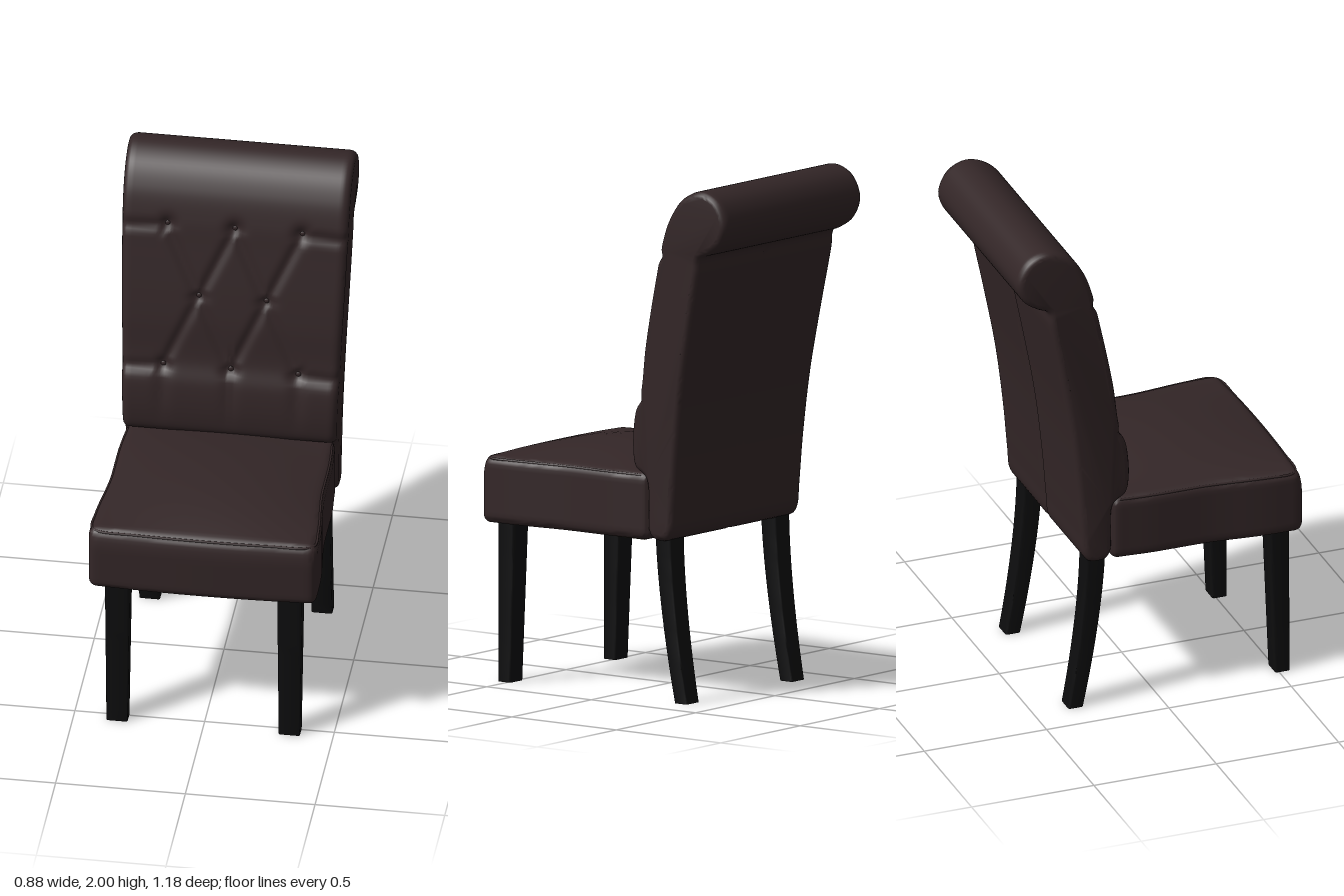
import * as THREE from 'three';
import { toCreasedNormals } from 'three/addons/utils/BufferGeometryUtils.js';

const { smoothstep, lerp, clamp } = THREE.MathUtils;

// Move every vertex by a rule, then rebuild the normals
function reshape(geometry, rule, crease = 0.8) {
  const p = geometry.attributes.position;
  const v = new THREE.Vector3();
  for (let i = 0; i < p.count; i++) {
    v.fromBufferAttribute(p, i);
    rule(v);
    p.setXYZ(i, v.x, v.y, v.z);
  }
  return toCreasedNormals(geometry, crease);
}

function add(parent, name, geometry, material) {
  const mesh = new THREE.Mesh(geometry, material);
  mesh.name = name;
  parent.add(mesh);
  return mesh;
}

// Tufting: button positions, and the creases that join them into diamonds
const buttons = [
  [-0.26, 1.74], [0, 1.74], [0.26, 1.74],
  [-0.13, 1.46], [0.13, 1.46],
  [-0.26, 1.17], [0, 1.17], [0.26, 1.17],
];
const creases = [];
for (const x of [-0.13, 0.13]) {
  for (const y of [1.74, 1.17]) {
    for (const s of [-0.13, 0.13]) creases.push([x, 1.46, x + s, y]);
  }
}
for (const s of [-1, 1]) {
  for (const y of [1.74, 1.17]) creases.push([s * 0.26, y, s * 0.45, y - 0.01]);
}

function segmentDistance(x, y, [ax, ay, bx, by]) {
  const dx = bx - ax, dy = by - ay;
  const t = clamp(((x - ax) * dx + (y - ay) * dy) / (dx * dx + dy * dy), 0, 1);
  return Math.hypot(x - ax - t * dx, y - ay - t * dy);
}

function tuftDepth(x, y) {
  let d = 0;
  for (const c of creases) d = Math.max(d, 0.012 * Math.exp(-((segmentDistance(x, y, c) / 0.02) ** 2)));
  for (const [bx, by] of buttons) {
    d = Math.max(d, 0.026 * Math.exp(-((x - bx) ** 2 + (y - by) ** 2) / 0.0009));
    // Soft vertical folds below the lowest row
    if (by < 1.2 && y < by) {
      d = Math.max(d, 0.008 * smoothstep(y, 0.9, 1.1) * Math.exp(-(((x - bx) / 0.03) ** 2)));
    }
  }
  return d;
}

// Backrest: side profile [z, y] with a rolled top, extruded across the width
function backrestGeometry() {
  const profile = [
    [-0.22, 0.63], [-0.197, 0.66], [-0.195, 0.75], [-0.185, 0.86], [-0.135, 0.9], [-0.122, 0.97],
    [-0.133, 1.1], [-0.165, 1.2], [-0.188, 1.36], [-0.215, 1.5], [-0.25, 1.66], [-0.275, 1.77],
    [-0.315, 1.88], [-0.38, 1.965], [-0.47, 2.0], [-0.55, 1.967], [-0.59, 1.88], [-0.56, 1.8],
    [-0.5, 1.757], [-0.463, 1.74], [-0.455, 1.68], [-0.41, 1.45], [-0.365, 1.2], [-0.335, 0.95],
    [-0.318, 0.75], [-0.308, 0.66], [-0.285, 0.63],
  ].map(([z, y]) => new THREE.Vector3(-z, y, 0));
  const outline = new THREE.CatmullRomCurve3(profile, true).getSpacedPoints(210);
  outline.pop();
  const bevel = 0.036;
  const depth = 1 - 2 * bevel;
  const g = new THREE.ExtrudeGeometry(new THREE.Shape(outline.map((p) => new THREE.Vector2(p.x, p.y))), {
    depth, steps: 80, bevelThickness: bevel, bevelSize: 0.024, bevelOffset: -0.024, bevelSegments: 4,
  });
  g.translate(0, 0, -depth / 2);
  g.rotateY(Math.PI / 2);
  return reshape(g, (v) => {
    v.x *= 2 * lerp(0.41, 0.437, smoothstep(v.y, 0.7, 1.95));
    const middle = -0.23 - 0.216 * (v.y - 1);
    if (v.z > middle && v.y < 1.9 && v.y > 0.88) v.z -= tuftDepth(v.x, v.y);
    // Centre seam down the rear
    if (v.z < middle && v.y < 1.72) v.z += 0.008 * Math.exp(-((v.x / 0.012) ** 2));
  });
}

// Seat cushion: plan and crown
const seatHalfWidth = (z) => 0.402 + 0.012 * smoothstep(z, -0.2, 0) + 0.026 * smoothstep(z, 0.15, 0.48);
const seatCrown = (x, z) => 0.05 * Math.max(0, 1 - (x / 0.42) ** 2) * Math.max(0, 1 - ((z - 0.17) / 0.4) ** 2);
const seatBulge = (x) => 0.015 * (1 - (x / 0.44) ** 2);

function seatGeometry() {
  const half = new THREE.Vector3(0.44, 0.13, 0.385);
  const r = 0.032;
  const inner = new THREE.Vector3();
  const limit = half.clone().subScalar(r);
  const low = limit.clone().negate();
  return reshape(new THREE.BoxGeometry(2, 2, 2, 32, 18, 32), (v) => {
    // Crowd the grid toward the edges, then round them
    for (const k of ['x', 'y', 'z']) v[k] = Math.sin((v[k] * Math.PI) / 2) * half[k];
    inner.copy(v).clamp(low, limit);
    v.sub(inner).setLength(r).add(inner);
    const top = smoothstep(v.y, 0.05, 0.13);
    const front = smoothstep(v.z, 0.2, 0.38);
    v.z += 0.19;
    v.z += front * (seatBulge(v.x) - 0.012 * top);
    v.y += 0.75 + top * seatCrown(v.x, v.z);
    v.x *= seatHalfWidth(v.z) / 0.44;
  });
}

// Welt cord round the top edge of the seat
function seatPipingGeometry() {
  const points = [];
  for (let i = 0; i <= 8; i++) {
    const z = -0.16 + 0.69 * (i / 8);
    points.push(new THREE.Vector3(seatHalfWidth(z) - 0.01, 0.871, z));
  }
  for (let i = 0; i <= 6; i++) {
    const x = 0.4 - 0.8 * (i / 6);
    points.push(new THREE.Vector3(x, 0.871, 0.553 + seatBulge(x)));
  }
  for (let i = 8; i >= 0; i--) points.push(points[i].clone().setX(-points[i].x));
  return new THREE.TubeGeometry(new THREE.CatmullRomCurve3(points), 120, 0.005, 6);
}

// Tapered leg with eased corners; centreZ gives the sweep from floor (0) to top (1)
function legGeometry(height, centreZ, halfX, halfZ) {
  const c = 0.75;
  const s = new THREE.Shape();
  s.moveTo(-c, -1);
  s.lineTo(c, -1);
  s.quadraticCurveTo(1, -1, 1, -c);
  s.lineTo(1, c);
  s.quadraticCurveTo(1, 1, c, 1);
  s.lineTo(-c, 1);
  s.quadraticCurveTo(-1, 1, -1, c);
  s.lineTo(-1, -c);
  s.quadraticCurveTo(-1, -1, -c, -1);
  const g = new THREE.ExtrudeGeometry(s, { depth: 1, steps: 14, curveSegments: 3, bevelEnabled: false });
  g.rotateX(-Math.PI / 2);
  return reshape(g, (v) => {
    const t = v.y;
    v.set(v.x * lerp(halfX[0], halfX[1], t), t * height, v.z * lerp(halfZ[0], halfZ[1], t) + centreZ(t));
  }, 0.7);
}

export function createModel() {
  const upholstery = new THREE.MeshStandardMaterial({ name: 'dark brown leather', color: 0x332627 });
  const wood = new THREE.MeshStandardMaterial({ name: 'black wood', color: 0x0d0d0e });
  const cloth = new THREE.MeshStandardMaterial({ name: 'olive base cloth', color: 0x3f3520 });

  const chair = new THREE.Group();
  chair.name = 'diningChair';

  add(chair, 'backrest', backrestGeometry(), upholstery);
  add(chair, 'seat', seatGeometry(), upholstery);
  add(chair, 'seatPiping', seatPipingGeometry(), upholstery);

  // Tuft buttons
  const buttonGeometry = new THREE.SphereGeometry(0.011, 12, 8);
  for (const [x, y] of buttons) {
    const button = add(chair, 'tuftButton', buttonGeometry, upholstery);
    const z = y > 1.6 ? -0.268 : y > 1.3 ? -0.207 : -0.155;
    button.position.set(x, y, z - 0.024);
    button.scale.z = 0.5;
  }

  // Cloth under the seat
  add(chair, 'seatUnderside', new THREE.BoxGeometry(0.72, 0.008, 0.68), cloth).position.set(0, 0.619, 0.19);

  // Legs
  const front = legGeometry(0.64, (t) => lerp(0.515, 0.5, t), [0.041, 0.048], [0.03, 0.04]);
  const rear = legGeometry(0.66, (t) => -0.248 - 0.082 * (1 - t) ** 1.6, [0.04, 0.045], [0.03, 0.038]);
  for (const [name, geometry] of [['frontLeg', front], ['rearLeg', rear]]) {
    for (const side of [-1, 1]) add(chair, name, geometry, wood).position.x = side * 0.332;
  }
  return chair;
}
